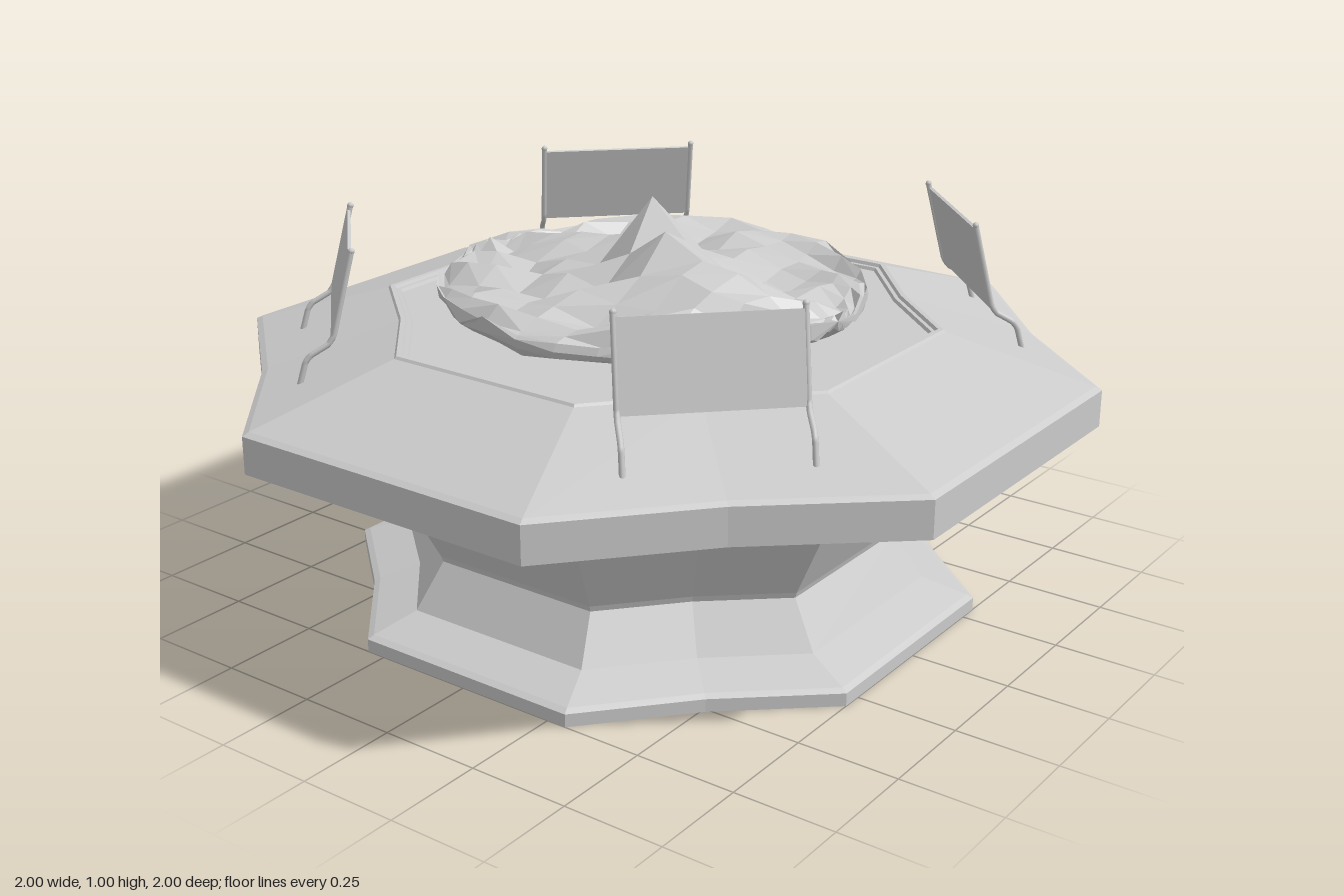
import * as THREE from 'three';

const material = new THREE.MeshStandardMaterial({ color: 0xcccccc, flatShading: true, side: THREE.DoubleSide });
const smoothMaterial = new THREE.MeshStandardMaterial({ color: 0xcccccc });

// Octagon of half-width 1 whose diagonal sides are pinched inwards, seen from above
function outline() {
  const points = [];
  for (let k = 0; k < 4; k++) {
    const c = Math.round(Math.cos(k * Math.PI / 2)), s = Math.round(Math.sin(k * Math.PI / 2));
    for (const [x, z] of [[0.4, 1], [0.68, 0.68], [1, 0.4]]) points.push([x * c + z * s, z * c - x * s]);
  }
  return points;
}

// Skin over scaled outlines; each ring is [half-width, height]
function loft(rings) {
  const ring = outline(), n = ring.length, position = [], index = [];
  for (const [r, y] of rings) for (const [x, z] of ring) position.push(x * r, y, z * r);
  for (let i = 0; i < rings.length - 1; i++) {
    for (let j = 0; j < n; j++) {
      const a = i * n + j, b = i * n + (j + 1) % n;
      index.push(a, b, b + n, a, b + n, a + n);
    }
  }
  const geometry = new THREE.BufferGeometry();
  geometry.setAttribute('position', new THREE.Float32BufferAttribute(position, 3));
  geometry.setIndex(index);
  geometry.computeVertexNormals();
  return geometry;
}

function add(parent, name, geometry, mat = material) {
  const mesh = new THREE.Mesh(geometry, mat);
  mesh.name = name;
  parent.add(mesh);
  return mesh;
}

// Repeatable value in -1..1 for a place, so shared vertices stay together
function noise(x, z, seed) {
  const v = Math.sin(Math.round(x * 500) * 12.9898 + Math.round(z * 500) * 78.233 + seed * 37.7) * 43758.5453;
  return (v - Math.floor(v)) * 2 - 1;
}

// Craggy rock mound: flattened ball with a height field on its upper half
function rockGeometry() {
  const bumps = [ // x, z, height, spread
    [0, 0, 0.14, 0.13], [-0.1, 0.13, 0.11, 0.12], [-0.08, 0.3, 0.06, 0.1],
    [0.34, 0.02, 0.03, 0.12], [0, -0.3, 0.03, 0.14], [-0.35, -0.1, 0.02, 0.12],
  ];
  const R = 0.52;
  const geometry = new THREE.SphereGeometry(R, 32, 16).rotateX(Math.PI / 2);
  const p = geometry.attributes.position;
  for (let i = 0; i < p.count; i++) {
    const x = p.getX(i), z = p.getZ(i), t = p.getY(i) / R;
    const centre = Math.hypot(x, z) < 0.01;
    let top = 0.8 + 0.032 * noise(x, z, 1);
    for (const [bx, bz, h, w] of bumps) top += h * Math.exp(-((x - bx) ** 2 + (z - bz) ** 2) / (w * w));
    if (centre) top = 1;
    const edge = 0.785 + 0.025 * noise(x, z, 2);
    const bottom = 0.735 + 0.012 * noise(x, z, 3);
    const y = t >= 0 ? edge + (top - edge) * Math.min(1, t * 2.5) : edge + (bottom - edge) * Math.min(1, -t * 2.5);
    const jitter = centre || Math.hypot(x, z) > 0.49 ? 0 : 0.012;
    p.setXYZ(i, x + jitter * noise(x, z, 4), y, z * 1.02 - 0.015 + jitter * noise(x, z, 5));
  }
  geometry.computeVertexNormals();
  return geometry;
}

// Leaning sign panel on two bent posts, facing +z
function createSign() {
  const sign = new THREE.Group();
  sign.name = 'sign';
  const lean = Math.atan2(0.05, 0.2);
  const panel = add(sign, 'signPanel', new THREE.BoxGeometry(0.4, 0.206, 0.008));
  panel.position.set(0, 0.845, 0.761);
  panel.rotation.x = -lean;
  for (const side of [-1, 1]) {
    const path = new THREE.CurvePath();
    const points = [[0.955, 0.732], [0.755, 0.782], [0.735, 0.795], [0.71, 0.838], [0.695, 0.85], [0.632, 0.868]]
      .map(([y, z]) => new THREE.Vector3(side * 0.203, y, z));
    for (let i = 0; i < points.length - 1; i++) path.add(new THREE.LineCurve3(points[i], points[i + 1]));
    add(sign, 'signPost', new THREE.TubeGeometry(path, 36, 0.007, 8), smoothMaterial);
    const cap = add(sign, 'postCap', new THREE.SphereGeometry(0.008, 8, 6), smoothMaterial);
    cap.position.copy(points[0]);
  }
  return sign;
}

export function createModel() {
  const model = new THREE.Group();
  model.name = 'fountain';

  // Hollow pedestal, open underneath
  add(model, 'pedestal', loft([[0.75, 0], [0.75, 0.032], [0.735, 0.04], [0.63, 0.075], [0.56, 0.185], [0.565, 0.2], [0.69, 0.45]]));

  // Wide sloping table with its stepped rim
  add(model, 'table', loft([[0.69, 0.45], [1, 0.515], [1, 0.605], [0.985, 0.613], [0.655, 0.718],
    [0.65, 0.724], [0.638, 0.724], [0.634, 0.716], [0.624, 0.716], [0.62, 0.708], [0.61, 0.708]]));
  add(model, 'basinFloor', loft([[0.61, 0.708], [0, 0.708]]));

  add(model, 'rock', rockGeometry());

  // One sign over each pinched side
  for (let k = 0; k < 4; k++) {
    const sign = createSign();
    sign.rotation.y = Math.PI / 4 + k * Math.PI / 2;
    model.add(sign);
  }
  return model;
}
